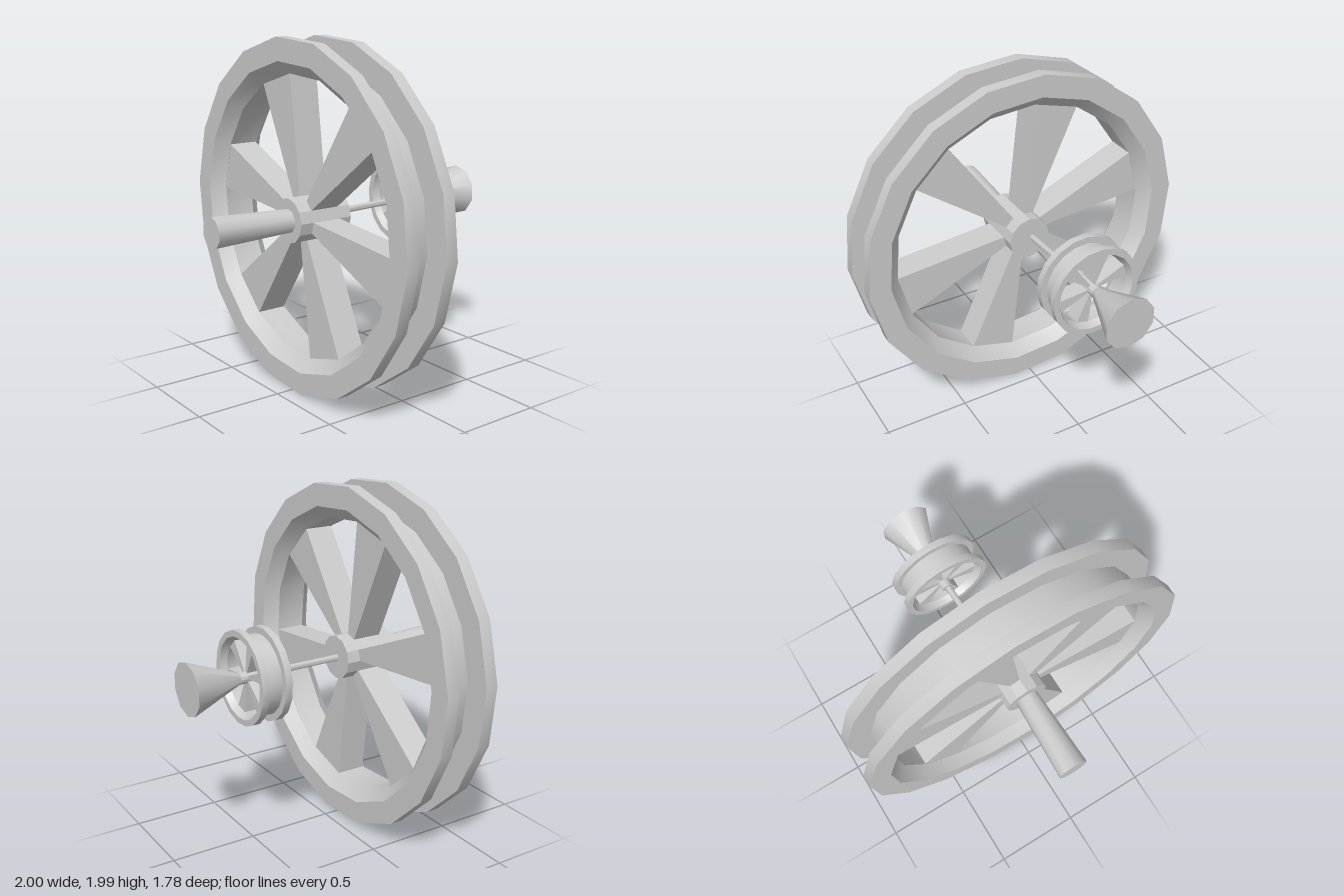
import * as THREE from 'three';
import { toCreasedNormals } from 'three/addons/utils/BufferGeometryUtils.js';

const material = new THREE.MeshStandardMaterial({ color: 0xcccccc });
const rad = THREE.MathUtils.degToRad;

function addMesh(parent, name, geometry, crease) {
  const mesh = new THREE.Mesh(toCreasedNormals(geometry, rad(crease)), material);
  mesh.name = name;
  parent.add(mesh);
  return mesh;
}

// Tapered round bar between two points
function addBar(parent, name, from, to, rFrom, rTo, sides) {
  const a = new THREE.Vector3(...from);
  const b = new THREE.Vector3(...to);
  const dir = b.clone().sub(a);
  const mesh = addMesh(parent, name,
    new THREE.CylinderGeometry(rTo, rFrom, dir.length(), sides), 50);
  mesh.position.copy(a).add(b).multiplyScalar(0.5);
  mesh.quaternion.setFromUnitVectors(new THREE.Vector3(0, 1, 0), dir.normalize());
}

// Grooved wheel of radius 1 in the xy plane, centred on its own middle
function createWheel(name) {
  const wheel = new THREE.Group();
  wheel.name = name;

  // Rim: two flanges, bevelled inside, around a recessed groove
  const profile = [
    [0.87, -0.163], [1, -0.163], [1, -0.09], [0.855, -0.09],
    [0.855, 0.09], [1, 0.09], [1, 0.163], [0.87, 0.163],
    [0.8, 0.09], [0.8, -0.09], [0.87, -0.163],
  ].map(([r, z]) => new THREE.Vector2(r, z));
  const rim = new THREE.LatheGeometry(profile, 18, rad(6));
  rim.rotateX(Math.PI / 2);
  addMesh(wheel, 'rim', rim, 28);

  // Hub
  const hub = new THREE.CylinderGeometry(0.128, 0.128, 0.336, 12, 1, false, rad(1));
  hub.rotateX(Math.PI / 2);
  addMesh(wheel, 'hub', hub, 20);

  // Six flaring spokes, each as wide as one rim segment
  const corner = (r, deg) => new THREE.Vector2(r * Math.cos(rad(deg)), r * Math.sin(rad(deg)));
  const outline = new THREE.Shape([
    corner(0.122, -15), corner(0.802, -10), corner(0.802, 10), corner(0.122, 15),
  ]);
  for (let i = 0; i < 6; i++) {
    const spoke = new THREE.ExtrudeGeometry(outline, { depth: 0.176, bevelEnabled: false });
    spoke.translate(0, 0, -0.088);
    spoke.rotateZ(rad(-14 + 60 * i));
    addMesh(wheel, 'spoke', spoke, 20);
  }
  return wheel;
}

export function createModel() {
  const model = new THREE.Group();

  const largeWheel = createWheel('largeWheel');
  largeWheel.position.set(0, 1, 0.242);
  model.add(largeWheel);

  const smallWheel = createWheel('smallWheel');
  smallWheel.position.set(-0.038, 1.01, -0.49);
  smallWheel.scale.set(0.267, 0.267, 0.555);
  model.add(smallWheel);

  // Front handle, thin axle and flared rear end
  addBar(model, 'frontHandle', [0, 1, 0.4], [-0.003, 1.002, 0.89], 0.068, 0.088, 10);
  addBar(model, 'axle', [-0.015, 1.003, 0.07], [-0.038, 1.008, -0.5], 0.019, 0.019, 10);
  addBar(model, 'rearFlare', [-0.038, 1.01, -0.57], [-0.04, 1.01, -0.89], 0.028, 0.153, 10);
  return model;
}
